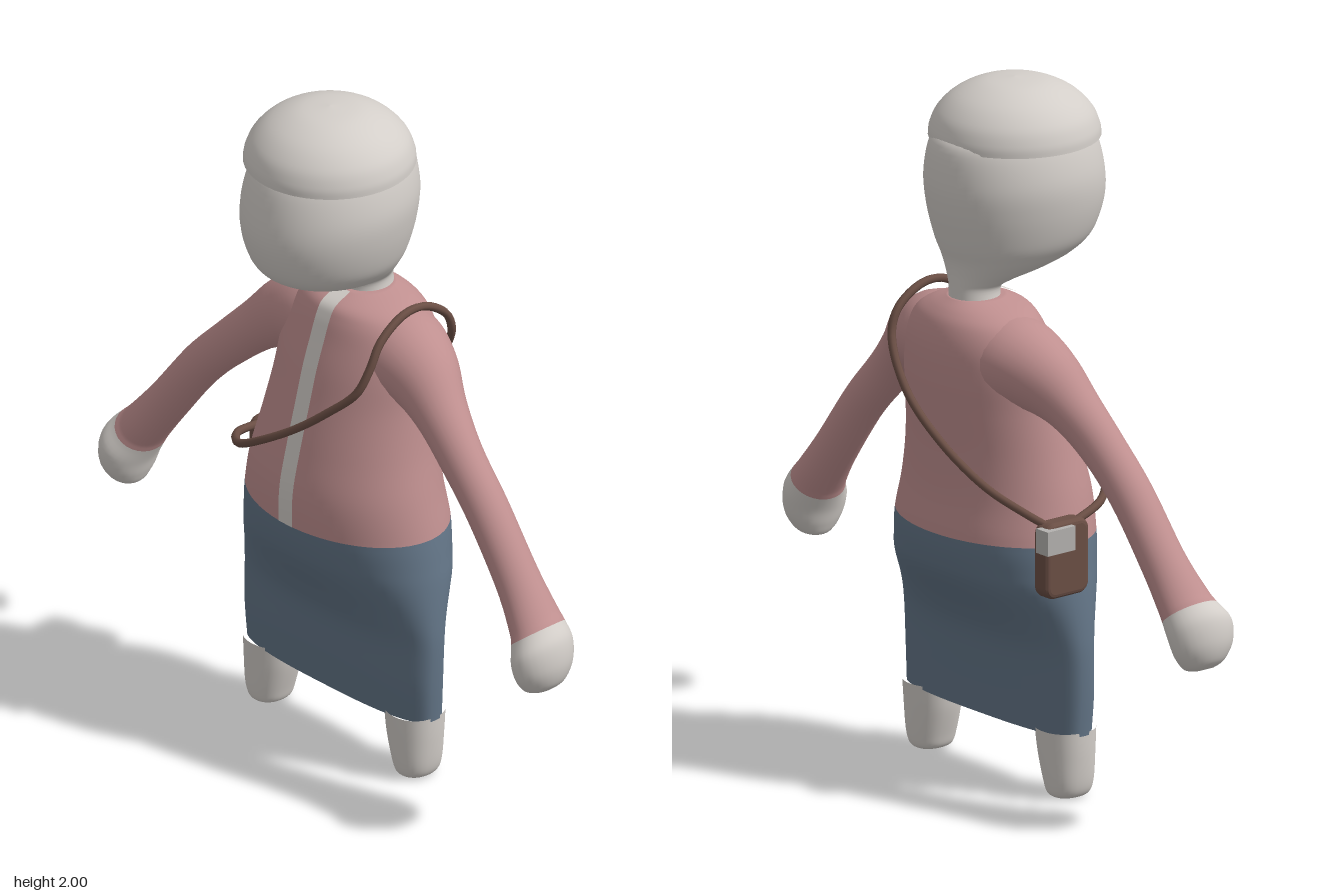
import * as THREE from 'three';

const paint = (name, hex) => {
  const m = new THREE.MeshStandardMaterial({ color: hex });
  m.name = name;
  return m;
};

// smooth interpolation along a table of cross-sections, t = row index
function sample(rows, t) {
  const last = rows.length - 1;
  const i = Math.min(Math.floor(t), last - 1), f = t - i;
  const row = (k) => rows[Math.max(0, Math.min(last, k))];
  const p0 = row(i - 1), p1 = row(i), p2 = row(i + 1), p3 = row(i + 2);
  return p1.map((b, k) => {
    const c = p2[k], m0 = (c - p0[k]) / 2, m1 = (p3[k] - b) / 2;
    const f2 = f * f, f3 = f2 * f;
    return (2 * f3 - 3 * f2 + 1) * b + (f3 - 2 * f2 + f) * m0 + (3 * f2 - 2 * f3) * c + (f3 - f2) * m1;
  });
}

// row: [cx, cy, cz, half size across, half size in z, tilt in degrees, roundness]
function loft(rows, { from = 0, to = rows.length - 1, steps = 6, sides = 40, capStart = false, capEnd = false } = {}) {
  const pos = [], index = [], rings = Math.round((to - from) * steps);
  for (let i = 0; i <= rings; i++) {
    const [x, y, z, a, b, tilt, n] = sample(rows, from + i / steps);
    const r = tilt * Math.PI / 180;
    for (let j = 0; j < sides; j++) {
      const p = j / sides * Math.PI * 2, c = Math.cos(p), s = Math.sin(p);
      const u = a * Math.sign(c) * Math.pow(Math.abs(c), 2 / n);
      const v = b * Math.sign(s) * Math.pow(Math.abs(s), 2 / n);
      pos.push(x + u * Math.cos(r), y + u * Math.sin(r), z + v);
      if (i < rings) {
        const k = i * sides + j, l = i * sides + (j + 1) % sides;
        index.push(k, k + sides, l, l, k + sides, l + sides);
      }
    }
  }
  const cap = (t, base, flip) => {
    const centre = pos.length / 3;
    pos.push(...sample(rows, t).slice(0, 3));
    for (let j = 0; j < sides; j++) {
      const k = base + j, l = base + (j + 1) % sides;
      index.push(centre, flip ? l : k, flip ? k : l);
    }
  };
  if (capStart) cap(from, 0, false);
  if (capEnd) cap(to, rings * sides, true);
  const g = new THREE.BufferGeometry();
  g.setAttribute('position', new THREE.Float32BufferAttribute(pos, 3));
  g.setIndex(index);
  g.computeVertexNormals();
  return g;
}

// upright section from half width, front z and back z
const upright = ([y, rx, zf, zb, n = 2]) => [0, y, (zf + zb) / 2, rx, (zf - zb) / 2, 0, n];

const BODY = [
  [0.19, 0.368, 0.045, -0.12, 2.8], [0.3, 0.374, 0.055, -0.125, 2.7], [0.42, 0.376, 0.062, -0.138, 2.5],
  [0.5, 0.371, 0.092, -0.175, 2.3], [0.6, 0.36, 0.145, -0.245, 2.1], [0.66, 0.35, 0.168, -0.27],
  [0.74, 0.335, 0.18, -0.28], [0.85, 0.31, 0.177, -0.268], [0.97, 0.282, 0.15, -0.268],
  [1.1, 0.262, 0.115, -0.278], [1.2, 0.255, 0.088, -0.284], [1.28, 0.24, 0.06, -0.28],
  [1.34, 0.205, 0.038, -0.262], [1.375, 0.15, 0.015, -0.235], [1.4, 0.075, -0.04, -0.2],
].map(upright);
const WAIST = 6;

const HEAD = [
  [1.36, 0.078, -0.045, -0.2], [1.42, 0.068, -0.05, -0.2], [1.445, 0.085, 0, -0.2], [1.475, 0.125, 0.12, -0.201],
  [1.51, 0.163, 0.205, -0.206], [1.56, 0.195, 0.257, -0.222], [1.65, 0.22, 0.285, -0.243],
  [1.74, 0.226, 0.28, -0.25], [1.84, 0.203, 0.25, -0.232], [1.88, 0.17, 0.2, -0.18],
].map(upright);

// fingertips up to the shoulder
const ARM = [
  [0.845, 0.492, -0.005, 0.02, 0.03, 20, 2], [0.845, 0.507, -0.005, 0.052, 0.062, 25, 2],
  [0.842, 0.55, -0.005, 0.07, 0.092, 30, 2], [0.828, 0.605, -0.008, 0.077, 0.102, 37, 2],
  [0.8, 0.648, -0.02, 0.071, 0.088, 39, 2], [0.775, 0.68, -0.025, 0.066, 0.08, 41, 2],
  [0.7, 0.775, -0.033, 0.062, 0.066, 44, 2], [0.575, 0.935, -0.04, 0.062, 0.063, 44, 2],
  [0.46, 1.05, -0.05, 0.066, 0.064, 45, 2], [0.36, 1.14, -0.07, 0.077, 0.078, 48, 2],
  [0.27, 1.205, -0.095, 0.105, 0.105, 60, 2], [0.17, 1.24, -0.11, 0.125, 0.13, 78, 2],
  [0.05, 1.25, -0.115, 0.12, 0.13, 88, 2],
];
const WRIST = 4;

const LEG = [
  [0.295, 0.002, -0.035, 0.03, 0.04, 0, 2], [0.295, 0.014, -0.035, 0.052, 0.06, 0, 2.2],
  [0.295, 0.05, -0.035, 0.064, 0.069, 0, 2.3], [0.288, 0.13, -0.036, 0.078, 0.077, 0, 2.2],
  [0.285, 0.2, -0.037, 0.083, 0.082, 0, 2.2],
];
const mirror = (rows, s) => rows.map(([x, y, z, a, b, tilt, n]) => [s * x, y, z, a, b, s * tilt, n]);

export function createModel() {
  const root = new THREE.Group();
  root.name = 'figure';
  const pale = paint('pale body', 0xd3cec9);
  const pink = paint('jacket pink', 0xbf8f8f);
  const blue = paint('skirt blue', 0x637587);
  const brown = paint('bag brown', 0x6b4f45);
  const grey = paint('clasp grey', 0xb4b2af);
  const add = (name, geometry, material) => {
    const m = new THREE.Mesh(geometry, material);
    m.name = name;
    root.add(m);
    return m;
  };

  // clothed body
  add('skirt', loft(BODY, { to: WAIST, sides: 64 }), blue);
  add('jacket', loft(BODY, { from: WAIST, sides: 64, capEnd: true }), pink);
  const hem = BODY[0];
  add('skirtUnderside', loft([[0, hem[1], hem[2], 0.001, 0.001, 0, hem[6]], hem], { steps: 1, sides: 64 }), pale);

  // pale strip down the jacket front, following the chest
  const strip = new THREE.PlaneGeometry(0.054, 1, 2, 48);
  const p = strip.attributes.position;
  for (let i = 0; i < p.count; i++) {
    const t = WAIST + (p.getY(i) + 0.5) * (BODY.length - 1 - WAIST);
    const [, y, z, , b] = sample(BODY, t);
    p.setXYZ(i, p.getX(i) - 0.002, y + 0.003, z + b + 0.004);
  }
  strip.computeVertexNormals();
  add('jacketPlacket', strip, pale);

  // limbs
  for (const [side, s] of [['left', 1], ['right', -1]]) {
    const arm = mirror(ARM, s);
    add(side + 'Hand', loft(arm, { to: WRIST, sides: 28, capStart: true }), pale);
    add(side + 'Sleeve', loft(arm, { from: WRIST, sides: 28, capEnd: true }), pink);
    add(side + 'Leg', loft(mirror(LEG, s), { sides: 28, capStart: true }), pale);
  }

  // head and cap
  add('head', loft(HEAD, { sides: 48, capEnd: true }), pale);
  const dome = new THREE.SplineCurve([[0.24, 1.835], [0.236, 1.865], [0.215, 1.91], [0.165, 1.957], [0.09, 1.99], [0, 2]]
    .map(([x, y]) => new THREE.Vector2(x, y))).getPoints(24);
  dome[dome.length - 1].x = 0;
  add('cap', new THREE.LatheGeometry(dome, 48), pale).position.z = 0.018;
  const brim = add('capUnderside', new THREE.CircleGeometry(0.24, 48).rotateX(Math.PI / 2), pale);
  brim.position.set(0, 1.835, 0.018);

  // shoulder bag: rounded slab with a clasp
  const w = 0.064, h = 0.095, r = 0.02;
  const outline = new THREE.Shape();
  outline.absarc(w - r, h - r, r, 0, Math.PI / 2);
  outline.absarc(r - w, h - r, r, Math.PI / 2, Math.PI);
  outline.absarc(r - w, r - h, r, Math.PI, Math.PI * 1.5);
  outline.absarc(w - r, r - h, r, Math.PI * 1.5, Math.PI * 2);
  const bag = add('bag', new THREE.ExtrudeGeometry(outline, {
    depth: 0.032, bevelThickness: 0.014, bevelSize: 0.014, bevelSegments: 3, curveSegments: 6,
  }).translate(0, 0, -0.016).rotateY(Math.PI / 2), brown);
  bag.position.set(-0.37, 0.727, -0.122);
  add('bagClasp', new THREE.BoxGeometry(0.05, 0.07, 0.1), grey).position.set(-0.391, 0.79, -0.16);

  // strap across chest, over the left shoulder and down the back
  const path = new THREE.CatmullRomCurve3([
    [-0.37, 0.82, -0.07], [-0.335, 0.85, 0.05], [-0.22, 0.9, 0.155], [-0.13, 0.95, 0.18], [0, 1.03, 0.155],
    [0.1, 1.11, 0.122], [0.18, 1.19, 0.085], [0.2, 1.26, 0.055], [0.2, 1.33, 0.015], [0.2, 1.385, -0.07],
    [0.2, 1.385, -0.15], [0.2, 1.33, -0.235], [0.19, 1.26, -0.265], [0.1, 1.13, -0.288], [-0.05, 1.01, -0.285],
    [-0.2, 0.91, -0.25], [-0.31, 0.855, -0.205], [-0.37, 0.82, -0.165],
  ].map((q) => new THREE.Vector3(...q)));
  add('bagStrap', new THREE.TubeGeometry(path, 120, 0.012, 8), brown);

  return root;
}
